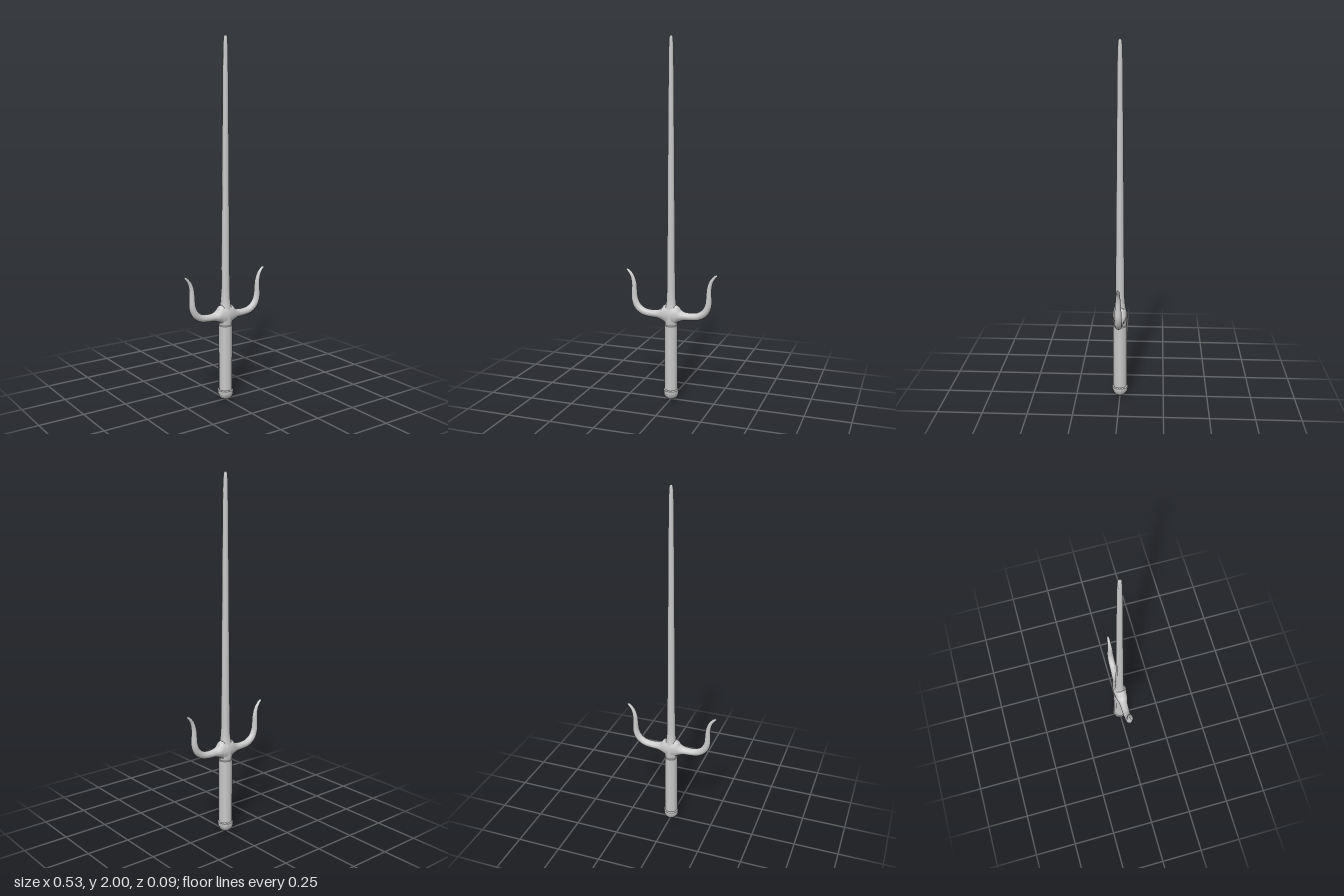
import * as THREE from 'three';

const SIDES = 8;

function lathe(name, profile, material) {
  const points = profile.map(([r, y]) => new THREE.Vector2(r, y));
  const mesh = new THREE.Mesh(new THREE.LatheGeometry(points, SIDES), material);
  mesh.name = name;
  return mesh;
}

// Sweeps an ellipse along a path in the xy plane; rows are [x, y, radius in plane, radius in z].
function sweep(rows, steps, sides) {
  const path = new THREE.CatmullRomCurve3(rows.map(([x, y]) => new THREE.Vector3(x, y, 0)));
  const radii = new THREE.CatmullRomCurve3(rows.map(([, , a, b]) => new THREE.Vector3(a, b, 0)));
  const positions = [], index = [];
  for (let i = 0; i <= steps; i++) {
    const p = path.getPoint(i / steps), t = path.getTangent(i / steps), r = radii.getPoint(i / steps);
    for (let j = 0; j < sides; j++) {
      const a = (j / sides) * Math.PI * 2, n = r.x * Math.cos(a);
      positions.push(p.x - t.y * n, p.y + t.x * n, r.y * Math.sin(a));
      if (i === steps) continue;
      const k = (j + 1) % sides, q = i * sides;
      index.push(q + j, q + k, q + sides + j, q + k, q + sides + k, q + sides + j);
    }
  }
  const geometry = new THREE.BufferGeometry();
  geometry.setAttribute('position', new THREE.Float32BufferAttribute(positions, 3));
  geometry.setIndex(index);
  geometry.computeVertexNormals();
  return geometry;
}

export function createModel() {
  const group = new THREE.Group();
  const metal = new THREE.MeshStandardMaterial({ color: 0xcccccc });

  // Rounded pommel with a small step up to the grip
  group.add(lathe('pommel', [[0, 0], [0.018, 0.003], [0.032, 0.012], [0.041, 0.026], [0.045, 0.042], [0.045, 0.056]], metal));
  group.add(lathe('pommelRim', [[0.045, 0.056], [0.038, 0.061]], metal));

  // Straight grip and its closing edge
  group.add(lathe('grip', [[0.039, 0.055], [0.039, 0.43]], metal));
  group.add(lathe('gripEdge', [[0.039, 0.43], [0.036, 0.434]], metal));

  // Hub flowing into the long tapering blade
  group.add(lathe('blade', [
    [0.036, 0.43], [0.039, 0.455], [0.041, 0.485], [0.038, 0.515], [0.031, 0.545], [0.027, 0.58], [0.025, 0.64],
    [0.022, 1.0], [0.019, 1.4], [0.0155, 1.8], [0.014, 1.91], [0.0125, 1.96], [0.01, 1.99], [0.006, 1.998], [0, 2],
  ], metal));

  // Crossguard with both curved prongs, mirrored about the hub
  const half = [
    [0.03, 0.492, 0.055, 0.037], [0.052, 0.489, 0.034, 0.033], [0.08, 0.488, 0.023, 0.025],
    [0.12, 0.488, 0.021, 0.022], [0.16, 0.495, 0.021, 0.021], [0.195, 0.519, 0.021, 0.020],
    [0.214, 0.56, 0.019, 0.019], [0.217, 0.61, 0.016, 0.017], [0.219, 0.655, 0.014, 0.014],
    [0.231, 0.695, 0.011, 0.011], [0.251, 0.722, 0.008, 0.009], [0.260, 0.729, 0.006, 0.007], [0.265, 0.732, 0.001, 0.001],
  ];
  const left = half.map(([x, ...rest]) => [-x, ...rest]).reverse();
  const guard = new THREE.Mesh(sweep([...left, [0, 0.493, 0.06, 0.041], ...half], 104, 12), metal);
  guard.name = 'crossguard';
  group.add(guard);

  return group;
}
